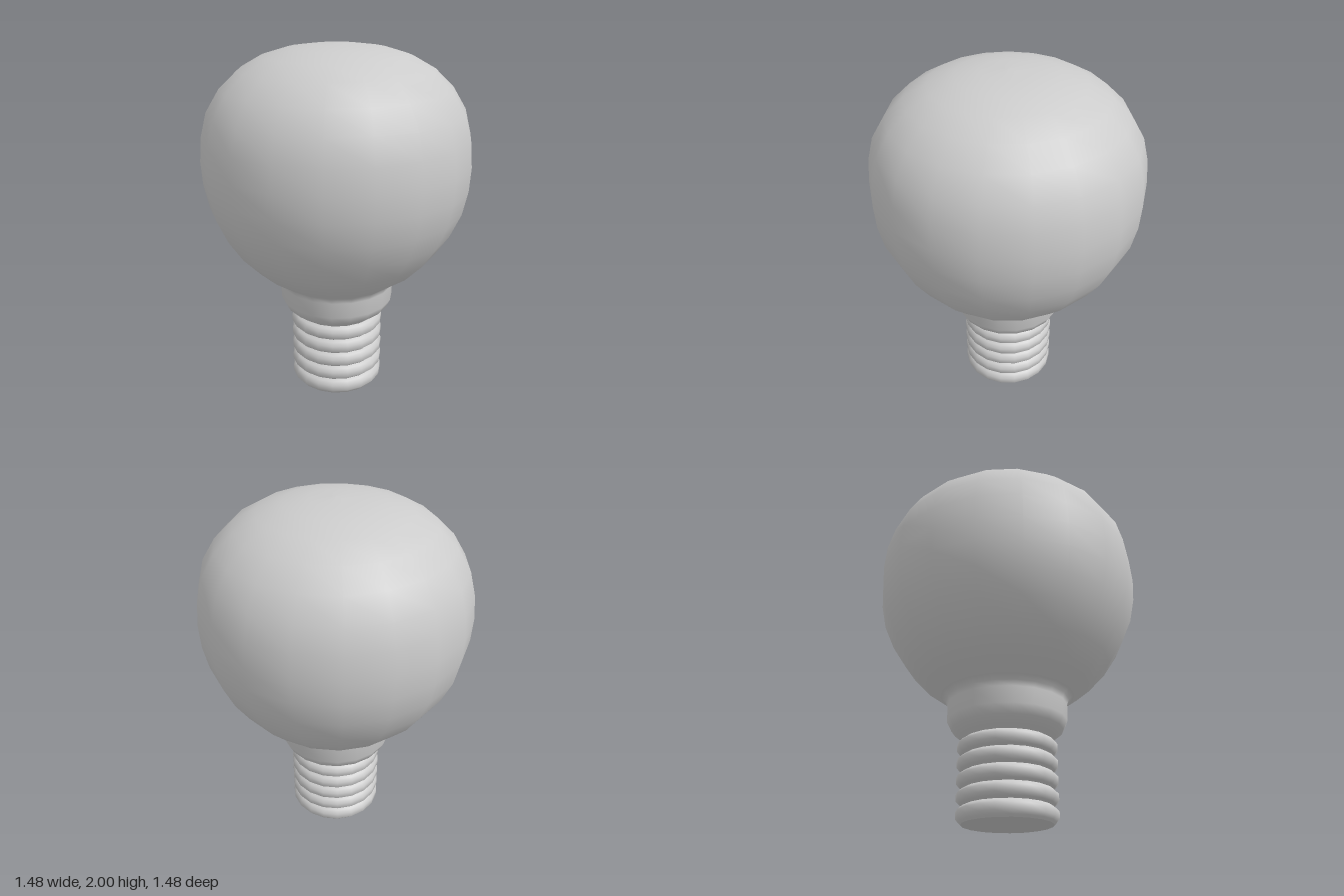
import * as THREE from 'three';

const SIDES = 19;
const material = new THREE.MeshStandardMaterial({ color: 0xcccccc });

// Turn a profile of [radius, height] pairs, listed from bottom to top
function turned(name, profile) {
  const points = profile.map(([r, y]) => new THREE.Vector2(r, y));
  const mesh = new THREE.Mesh(new THREE.LatheGeometry(points, SIDES, Math.PI / 2), material);
  mesh.name = name;
  return mesh;
}

export function createModel() {
  const bulb = new THREE.Group();
  bulb.name = 'lightBulb';

  // Glass globe flowing into the collar
  bulb.add(turned('globeAndCollar', [
    [0.235, 0.445], [0.255, 0.46], [0.305, 0.5], [0.33, 0.55], [0.331, 0.64],
    [0.342, 0.67], [0.365, 0.69], [0.475, 0.768], [0.575, 0.875], [0.653, 0.995],
    [0.71, 1.125], [0.738, 1.26], [0.745, 1.39], [0.733, 1.525], [0.698, 1.657],
    [0.625, 1.775], [0.525, 1.87], [0.405, 1.937], [0.268, 1.978], [0.135, 1.995], [0, 2],
  ]));

  // Stacked rounded ridges of the screw base
  const screw = new THREE.Group();
  screw.name = 'screwBase';
  const pitch = 0.0885;
  for (let i = 0; i < 5; i++) {
    const y = 0.048 + i * pitch;
    const low = i === 0 ? [[0.243, 0], [0.255, 0.012]] : [[0.235, y - pitch / 2], [0.252, y - 0.034]];
    screw.add(turned('ridge' + (i + 1), [
      ...low, [0.27, y - 0.017], [0.27, y + 0.017], [0.252, y + 0.034], [0.235, y + pitch / 2],
    ]));
  }

  // Flat underside
  screw.add(turned('baseCap', [[0, 0], [0.243, 0]]));
  bulb.add(screw);

  // An odd number of sides reaches slightly further on one side
  bulb.position.x = -0.005;
  const model = new THREE.Group();
  model.add(bulb);
  return model;
}
